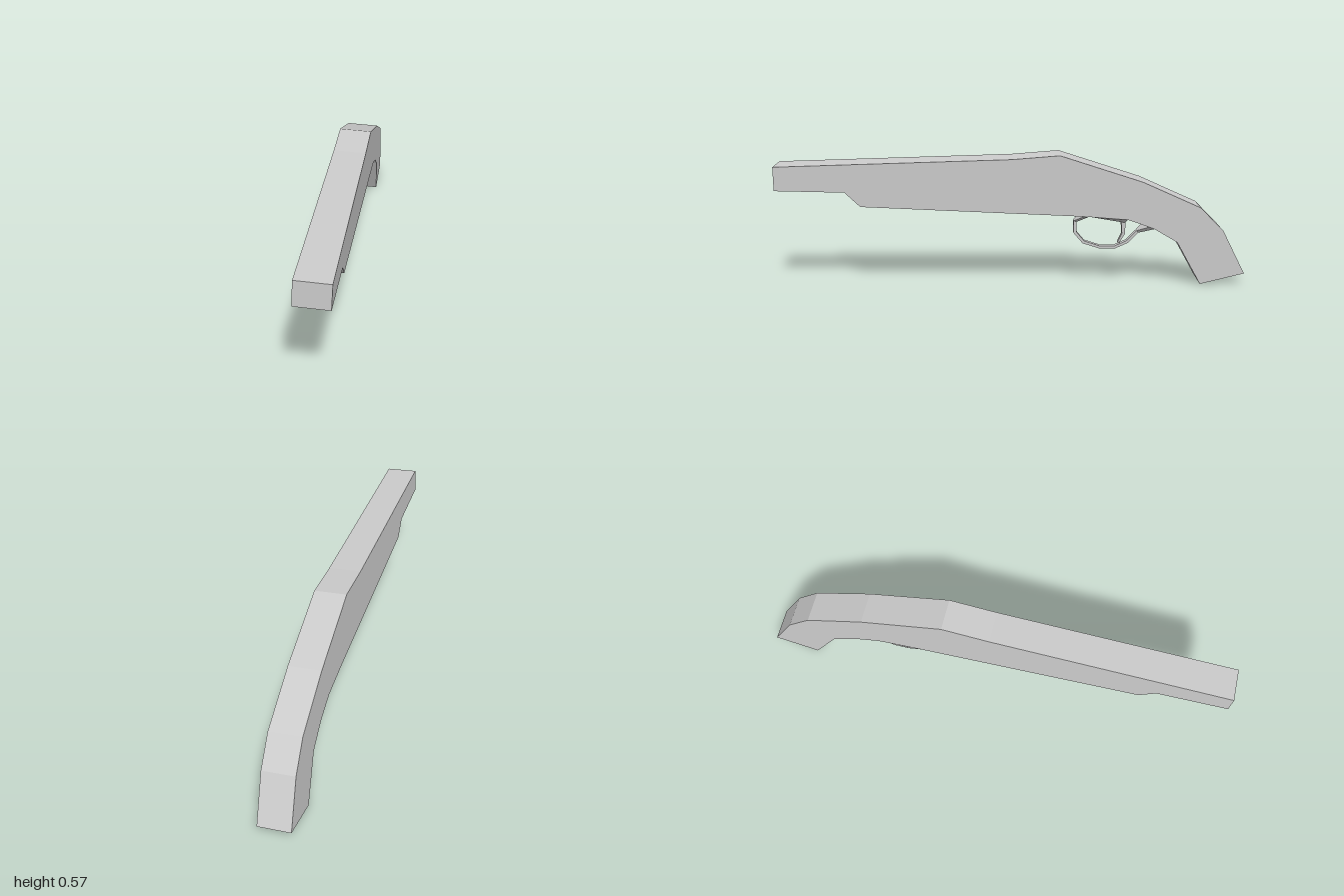
import * as THREE from 'three';

const material = new THREE.MeshStandardMaterial({ color: 0xcccccc, flatShading: true });
const HALF = 0.0675;

// Strip of rectangular sections: [front/outer z, y, rear/inner z, y, half width]
function strip(name, sections) {
  const rings = sections.map(([za, ya, zb, yb, w]) => [
    [-w, ya, za], [w, ya, za], [w, yb, zb], [-w, yb, zb],
  ]);
  const pos = [];
  const quad = (a, b, c, d) => pos.push(...a, ...b, ...c, ...a, ...c, ...d);
  for (let i = 0; i < rings.length - 1; i++) {
    for (let j = 0; j < 4; j++) {
      const k = (j + 1) % 4;
      quad(rings[i][j], rings[i + 1][j], rings[i + 1][k], rings[i][k]);
    }
  }
  const [c0, c1, c2, c3] = rings[rings.length - 1];
  quad(c0, c3, c2, c1);
  const geometry = new THREE.BufferGeometry();
  geometry.setAttribute('position', new THREE.Float32BufferAttribute(pos, 3));
  geometry.computeVertexNormals();
  const mesh = new THREE.Mesh(geometry, material);
  mesh.name = name;
  return mesh;
}

export function createModel() {
  const model = new THREE.Group();
  model.name = 'shortGun';

  // Barrel, stock and grip: one side profile (z, y) given thickness
  const profile = [
    [1, 0.519], [0, 0.55], [-0.2, 0.566], [-0.55, 0.453], [-0.8, 0.341],
    [-0.9, 0.24], [-0.998, 0.051], [-0.81, 0.004], [-0.705, 0.19], [-0.6, 0.252],
    [-0.49, 0.29], [-0.31, 0.304], [0.64, 0.348], [0.705, 0.41], [1, 0.417],
  ];
  const shape = new THREE.Shape(profile.map(([z, y]) => new THREE.Vector2(z, y)));
  const bodyGeometry = new THREE.ExtrudeGeometry(shape, { depth: HALF * 2, bevelEnabled: false });
  bodyGeometry.rotateY(-Math.PI / 2).translate(HALF, 0, 0);
  const body = new THREE.Mesh(bodyGeometry, material);
  body.name = 'barrelAndStock';
  model.add(body);

  // Trigger guard: thin loop whose ends flare out to the stock's full width
  const w = 0.013;
  model.add(strip('triggerGuard', [
    [-0.305, 0.304, -0.325, 0.303, HALF],
    [-0.264, 0.272, -0.278, 0.268, w],
    [-0.264, 0.22, -0.277, 0.224, w],
    [-0.305, 0.172, -0.312, 0.182, w],
    [-0.38, 0.148, -0.382, 0.159, w],
    [-0.445, 0.148, -0.442, 0.159, w],
    [-0.5, 0.173, -0.493, 0.182, w],
    [-0.545, 0.219, -0.538, 0.228, w],
    [-0.605, 0.249, -0.583, 0.258, HALF],
  ]));

  // Trigger: wedge under the stock narrowing into a curved blade
  model.add(strip('trigger', [
    [-0.33, 0.303, -0.49, 0.29, HALF],
    [-0.47, 0.266, -0.488, 0.264, w],
    [-0.474, 0.215, -0.488, 0.215, w * 0.9],
    [-0.456, 0.175, -0.464, 0.172, w * 0.7],
  ]));

  // Slight lean and turn of the whole piece
  model.rotation.set(0, 0.036, -0.05);
  model.position.x = -0.0145;
  return model;
}
